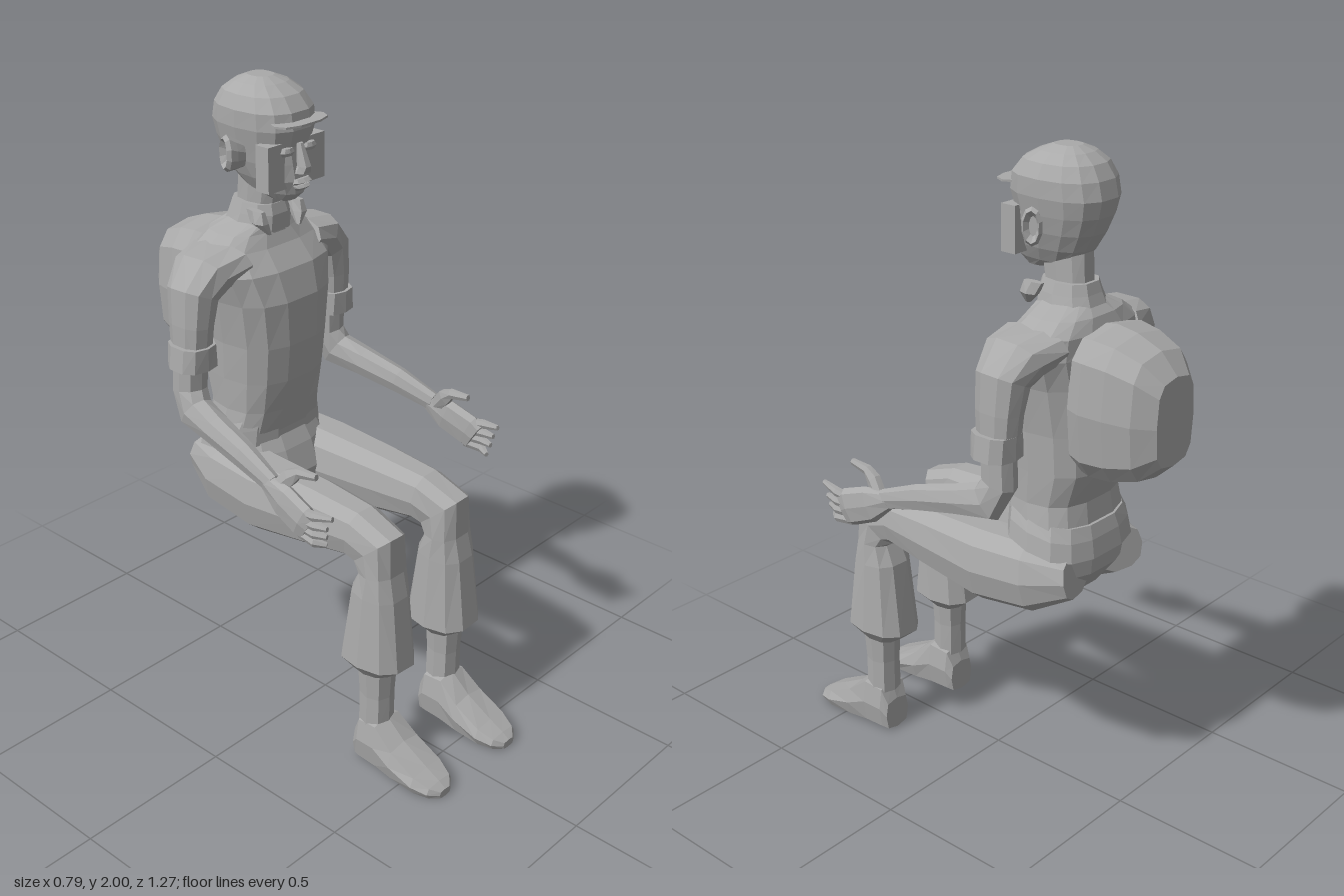
import * as THREE from 'three';

const grey = new THREE.MeshStandardMaterial({ color: 0xaaaaaa });
grey.name = 'grey';
const X = [1, 0, 0], Y = [0, 1, 0], Z = [0, 0, 1];

// Faceted skin over oval sections [x, y, z, a, b]; a lies along ref, b across it.
// normal fixes the section plane, otherwise sections follow the path. power < 1 is boxier.
function loft(name, sections, { ref = X, normal = null, sides = 10, power = 0.8, side = 1 } = {}) {
  const V = (p) => new THREE.Vector3(p[0], p[1], p[2]);
  const centres = sections.map(V);
  const soft = (v) => Math.sign(v) * Math.pow(Math.abs(v), power);
  const rings = sections.map((s, i) => {
    const t = normal ? V(normal).normalize() : (() => {
      const before = centres[i].clone().sub(centres[Math.max(i - 1, 0)]).normalize();
      const after = centres[Math.min(i + 1, centres.length - 1)].clone().sub(centres[i]).normalize();
      return before.add(after).normalize();
    })();
    const u = V(ref).addScaledVector(t, -V(ref).dot(t)).normalize();
    const v = t.clone().cross(u);
    return Array.from({ length: sides }, (_, k) => {
      const g = (k / sides) * Math.PI * 2;
      const p = centres[i].clone().addScaledVector(u, s[3] * soft(Math.cos(g)));
      return p.addScaledVector(v, s[4] * soft(Math.sin(g)));
    });
  });
  const tris = [];
  for (let k = 0; k < sides; k++) {
    const n = (k + 1) % sides, last = rings.length - 1;
    tris.push([centres[0], rings[0][n], rings[0][k]]);
    tris.push([centres[last], rings[last][k], rings[last][n]]);
    for (let i = 0; i < last; i++) {
      const [p, q] = [rings[i], rings[i + 1]];
      tris.push([p[k], p[n], q[n]], [p[k], q[n], q[k]]);
    }
  }
  // keep faces outward, mirrored parts included
  const o = centres[0];
  let volume = 0;
  for (const [a, b, c] of tris) {
    volume += a.clone().sub(o).dot(b.clone().sub(o).cross(c.clone().sub(o)));
  }
  const flip = volume * side < 0;
  const pos = [];
  for (const [a, b, c] of tris) {
    for (const p of flip ? [a, c, b] : [a, b, c]) pos.push(p.x * side, p.y, p.z);
  }
  const geo = new THREE.BufferGeometry();
  geo.setAttribute('position', new THREE.Float32BufferAttribute(pos, 3));
  geo.computeVertexNormals();
  const mesh = new THREE.Mesh(geo, grey);
  mesh.name = name;
  return mesh;
}

// Upright stack of rows [y, half width, front z, back z]
const stack = (name, rows, opts = {}) =>
  loft(name, rows.map(([y, w, f, b]) => [0, y, (f + b) / 2, w, (f - b) / 2]), { normal: Y, sides: 14, ...opts });

function box(name, w, h, d, x, y, z) {
  const mesh = new THREE.Mesh(new THREE.BoxGeometry(w, h, d), grey);
  mesh.position.set(x, y, z);
  mesh.name = name;
  return mesh;
}

function makeHead() {
  const head = new THREE.Group();
  head.name = 'head';
  head.add(stack('skull', [
    [1.655, 0.035, -0.125, -0.2], [1.68, 0.056, -0.098, -0.3], [1.72, 0.078, -0.09, -0.335],
    [1.77, 0.096, -0.095, -0.365], [1.82, 0.108, -0.1, -0.385], [1.87, 0.118, -0.085, -0.397],
    [1.92, 0.118, -0.092, -0.385], [1.96, 0.1, -0.125, -0.36], [1.985, 0.072, -0.17, -0.325],
    [2.0, 0.035, -0.21, -0.29]]));
  head.add(stack('neck', [[1.54, 0.065, -0.18, -0.35], [1.62, 0.055, -0.19, -0.335], [1.72, 0.055, -0.17, -0.33]], { sides: 10 }));
  // face
  head.add(loft('nose', [[0, 1.83, -0.1, 0.01, 0.012], [0, 1.765, -0.085, 0.018, 0.024], [0, 1.745, -0.09, 0.026, 0.022]], { normal: Y, sides: 6 }));
  head.add(loft('upperLip', [[0, 1.728, -0.093, 0.03, 0.008], [0, 1.718, -0.088, 0.036, 0.014], [0, 1.712, -0.093, 0.036, 0.008]], { normal: Y, sides: 8 }));
  head.add(loft('lowerLip', [[0, 1.709, -0.093, 0.034, 0.008], [0, 1.702, -0.09, 0.03, 0.013], [0, 1.693, -0.095, 0.022, 0.008]], { normal: Y, sides: 8 }));
  head.add(box('facePlate', 0.23, 0.135, 0.05, 0, 1.768, -0.135));
  head.add(loft('browPlate', [[0, 1.89, -0.1, 0.1, 0.048], [0, 1.896, -0.1, 0.1, 0.048]], { normal: Y }));
  for (const side of [1, -1]) {
    const opts = { side, sides: 8, power: 1 };
    head.add(loft('eye', [[0.045, 1.822, -0.104, 0.02, 0.01], [0.045, 1.81, -0.102, 0.028, 0.012], [0.045, 1.8, -0.104, 0.02, 0.01]], { ...opts, normal: Y }));
    head.add(loft('ear', [[0.1, 1.79, -0.225, 0.035, 0.018], [0.125, 1.795, -0.235, 0.046, 0.026],
      [0.145, 1.8, -0.245, 0.055, 0.032], [0.155, 1.8, -0.25, 0.045, 0.024], [0.14, 1.8, -0.245, 0.028, 0.012]],
    { ...opts, ref: Y, normal: [1, 0, -0.3], sides: 10 }));
  }
  return head;
}

function makeBody() {
  const body = new THREE.Group();
  body.name = 'body';
  body.add(stack('shirt', [
    [0.9, 0.185, -0.14, -0.4], [1.0, 0.168, -0.12, -0.385], [1.1, 0.17, -0.1, -0.42], [1.22, 0.175, -0.087, -0.42],
    [1.36, 0.195, -0.087, -0.41], [1.45, 0.225, -0.115, -0.405], [1.51, 0.21, -0.165, -0.4],
    [1.55, 0.15, -0.185, -0.385], [1.58, 0.075, -0.19, -0.355]], { power: 0.75 }));
  const tilt = [0, 1, -0.2];
  body.add(loft('shirtHem', [[0, 0.96, -0.265, 0.172, 0.14], [0, 0.92, -0.275, 0.19, 0.143], [0, 0.865, -0.28, 0.2, 0.148]],
    { normal: tilt, sides: 14, power: 0.75 }));
  body.add(stack('trouserSeat', [
    [0.93, 0.17, -0.15, -0.39], [0.86, 0.19, -0.11, -0.415], [0.78, 0.19, -0.08, -0.41],
    [0.7, 0.14, -0.09, -0.35], [0.655, 0.075, -0.12, -0.27]]));
  // collar with two pointed tips
  body.add(stack('collar', [[1.55, 0.095, -0.175, -0.375], [1.6, 0.08, -0.175, -0.355], [1.632, 0.07, -0.185, -0.345]], { sides: 10 }));
  for (const side of [1, -1]) {
    body.add(loft('collarTip', [[0.08, 1.625, -0.2, 0.012, 0.035], [0.08, 1.59, -0.185, 0.02, 0.03], [0.062, 1.555, -0.165, 0.006, 0.008]],
      { side, normal: Y, sides: 6 }));
  }
  return body;
}

function makeBackpack() {
  // sections run backwards from the shoulder blades
  return loft('backpack', [
    [0, 1.315, -0.38, 0.15, 0.21], [0, 1.315, -0.43, 0.168, 0.218], [0, 1.31, -0.5, 0.155, 0.212],
    [0, 1.305, -0.58, 0.132, 0.185], [0, 1.3, -0.635, 0.085, 0.13]], { normal: Z, sides: 12, power: 0.6 });
}

function makeArm(side) {
  const arm = new THREE.Group();
  arm.name = side > 0 ? 'leftArm' : 'rightArm';
  arm.add(loft('sleeve', [
    [0.15, 1.485, -0.27, 0.12, 0.05], [0.235, 1.462, -0.265, 0.1, 0.065], [0.28, 1.41, -0.262, 0.078, 0.064],
    [0.292, 1.32, -0.26, 0.07, 0.053], [0.297, 1.2, -0.26, 0.06, 0.048]], { ref: Z, side }));
  arm.add(loft('sleeveCuff', [[0.297, 1.262, -0.255, 0.07, 0.062], [0.297, 1.19, -0.255, 0.068, 0.07]], { ref: Z, normal: Y, side }));
  arm.add(loft('forearm', [
    [0.298, 1.22, -0.262, 0.045, 0.05], [0.3, 1.11, -0.268, 0.045, 0.052], [0.31, 1.05, -0.235, 0.044, 0.06],
    [0.325, 1.03, -0.13, 0.042, 0.045], [0.342, 1.0, 0.0, 0.034, 0.04], [0.358, 0.96, 0.13, 0.022, 0.03]], { side, sides: 8 }));
  // hand
  const opts = { side, sides: 6 };
  arm.add(loft('palm', [[0.357, 0.962, 0.11, 0.022, 0.028], [0.365, 0.93, 0.18, 0.026, 0.055], [0.373, 0.9, 0.26, 0.024, 0.058], [0.372, 0.885, 0.285, 0.018, 0.052]], { ...opts, sides: 8 }));
  arm.add(loft('thumb', [[0.358, 0.95, 0.14, 0.018, 0.022], [0.345, 1.0, 0.185, 0.017, 0.026], [0.34, 1.022, 0.215, 0.014, 0.016], [0.338, 1.03, 0.28, 0.009, 0.01]], opts));
  for (const [y0, y1, z1, x1] of [[0.925, 0.947, 0.372, 0.372], [0.903, 0.91, 0.355, 0.375], [0.88, 0.88, 0.35, 0.37], [0.858, 0.848, 0.342, 0.362]]) {
    arm.add(loft('finger', [[0.372, y0, 0.25, 0.014, 0.015], [0.38, (y0 + y1) / 2, 0.31, 0.013, 0.014], [x1, y1, z1, 0.007, 0.008]], opts));
  }
  return arm;
}

function makeLeg(side) {
  const leg = new THREE.Group();
  leg.name = side > 0 ? 'leftLeg' : 'rightLeg';
  leg.add(loft('trouserLeg', [
    [0.11, 0.79, -0.39, 0.08, 0.065], [0.14, 0.77, -0.27, 0.1, 0.11], [0.148, 0.758, -0.1, 0.102, 0.118],
    [0.146, 0.77, 0.12, 0.09, 0.098], [0.147, 0.775, 0.28, 0.075, 0.08], [0.15, 0.75, 0.352, 0.07, 0.09],
    [0.15, 0.68, 0.366, 0.074, 0.058], [0.152, 0.61, 0.36, 0.08, 0.082], [0.155, 0.375, 0.358, 0.096, 0.114],
    [0.16, 0.335, 0.36, 0.062, 0.064]], { side }));
  leg.add(loft('ankle', [[0.16, 0.38, 0.362, 0.055, 0.058], [0.16, 0.25, 0.362, 0.048, 0.05], [0.16, 0.14, 0.362, 0.05, 0.05]], { side, normal: Y, sides: 8 }));
  const rows = [[0.308, 0.11, 0.05], [0.33, 0.165, 0.06], [0.4, 0.175, 0.066], [0.47, 0.115, 0.074], [0.56, 0.066, 0.076], [0.61, 0.042, 0.058], [0.635, 0.026, 0.025]];
  leg.add(loft('foot', rows.map(([z, h, w]) => [0.157, h / 2, z, w, h / 2]), { side, normal: Z, power: 0.55, sides: 8 }));
  return leg;
}

export function createModel() {
  const model = new THREE.Group();
  model.name = 'seatedPerson';
  model.add(makeHead(), makeBody(), makeBackpack());
  for (const side of [1, -1]) model.add(makeArm(side), makeLeg(side));
  return model;
}
